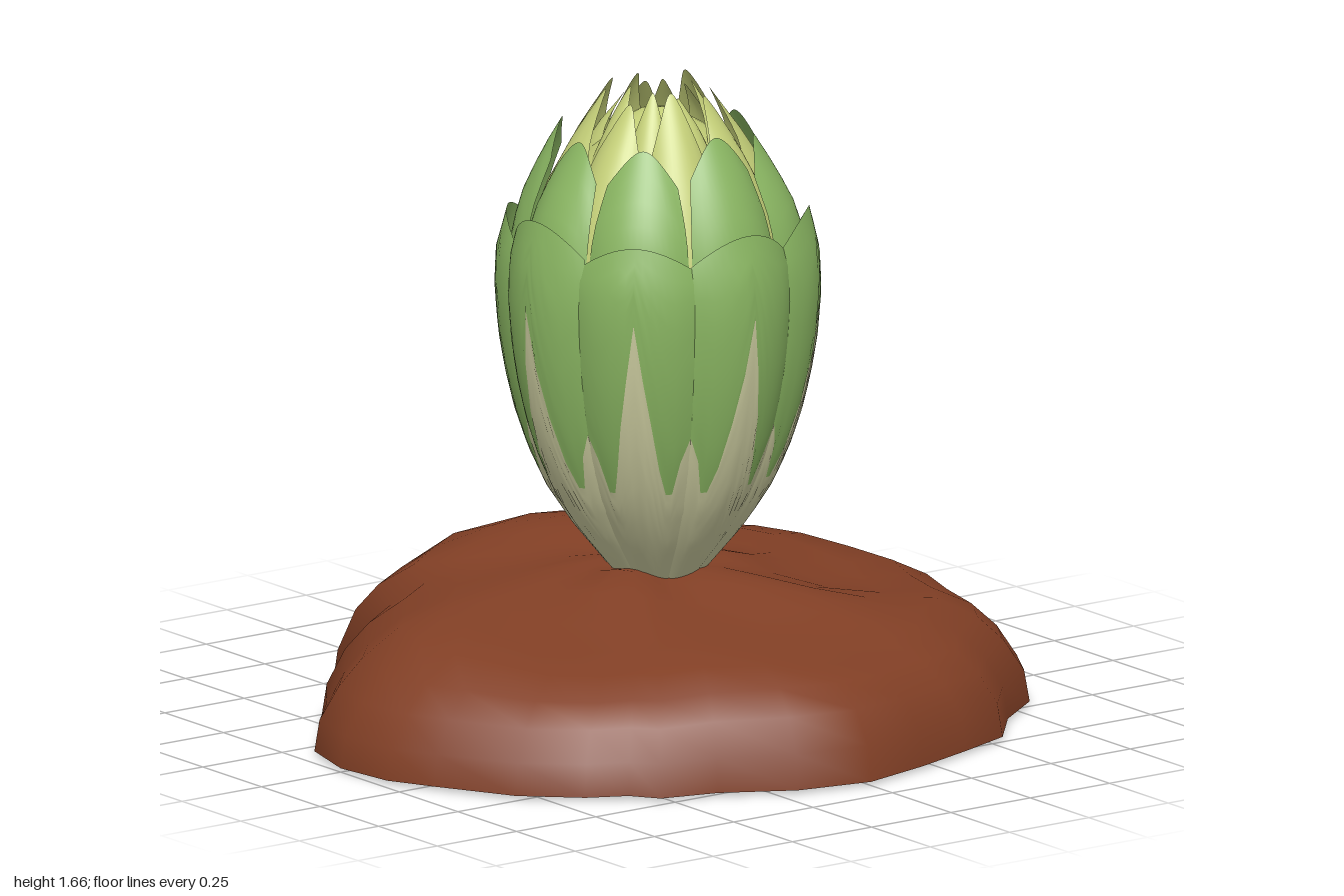
import * as THREE from 'three';
import { mergeVertices } from 'three/addons/utils/BufferGeometryUtils.js';

const mat = (name, color, side = THREE.FrontSide) => {
  const m = new THREE.MeshStandardMaterial({ color, side });
  m.name = name;
  return m;
};

// piecewise linear lookup in [[key, value], ...]
function lerpTable(table, k) {
  if (k <= table[0][0]) return table[0][1];
  for (let i = 1; i < table.length; i++) {
    const [k0, v0] = table[i - 1], [k1, v1] = table[i];
    if (k <= k1) return v0 + (v1 - v0) * (k - k0) / (k1 - k0);
  }
  return table[table.length - 1][1];
}

// grid surface from point(u, v), u across and v up, both 0..1
function surface(cols, rows, point) {
  const pos = [], index = [];
  for (let j = 0; j <= rows; j++)
    for (let i = 0; i <= cols; i++) pos.push(...point(i / cols, j / rows));
  for (let j = 0; j < rows; j++)
    for (let i = 0; i < cols; i++) {
      const a = j * (cols + 1) + i, b = a + cols + 1;
      index.push(a, a + 1, b, a + 1, b + 1, b);
    }
  const g = new THREE.BufferGeometry();
  g.setAttribute('position', new THREE.Float32BufferAttribute(pos, 3));
  g.setIndex(index);
  const merged = mergeVertices(g, 1e-5);
  merged.computeVertexNormals();
  return merged;
}

// soil outline (x, z), turning from the left side through the front
const OUTLINE = [
  [1, -0.02], [0.94, 0.16], [0.89, 0.35], [0.81, 0.49], [0.66, 0.6], [0.54, 0.74], [0.38, 0.8], [0.2, 0.86],
  [0, 0.91], [-0.2, 0.87], [-0.38, 0.77], [-0.53, 0.73], [-0.58, 0.66], [-0.68, 0.61], [-0.81, 0.49], [-0.92, 0.29],
  [-0.98, 0.17], [-1, 0], [-0.95, -0.18], [-0.84, -0.3], [-0.72, -0.46], [-0.57, -0.55], [-0.5, -0.71], [-0.35, -0.8],
  [-0.2, -0.89], [0, -0.91], [0.2, -0.9], [0.37, -0.84], [0.53, -0.74], [0.61, -0.57], [0.76, -0.48], [0.87, -0.36],
  [0.95, -0.2]];

// rings: distance from the middle, then height at front, side and back
const RINGS = [[1, 0.01, 0.01, 0.01], [0.985, 0.1, 0.09, 0.1], [0.93, 0.18, 0.17, 0.22], [0.86, 0.235, 0.235, 0.29],
  [0.75, 0.27, 0.295, 0.36], [0.6, 0.305, 0.315, 0.41], [0.45, 0.345, 0.33, 0.425], [0.3, 0.37, 0.37, 0.42],
  [0.18, 0.39, 0.405, 0.41], [0, 0.39, 0.39, 0.39]];

function soilGeometry() {
  const n = OUTLINE.length, rows = RINGS.length - 1;
  return surface(n, rows, (u, v) => {
    const [x, z] = OUTLINE[(n - Math.round(u * n)) % n];
    const [s, front, sideY, back] = RINGS[Math.round(v * rows)];
    const a = Math.atan2(z, x), f = Math.sin(a);
    const w = f * f;
    const bump = 0.05 * s * (1 - s) * (Math.sin(5 * a + 6 * s) + Math.sin(3 * a - 4 * s));
    return [x * s, sideY * (1 - w) + (f > 0 ? front : back) * w + bump, z * s];
  });
}

function soilBaseGeometry() {
  const n = OUTLINE.length;
  return surface(n, 1, (u, v) => {
    const [x, z] = OUTLINE[Math.round(u * n) % n];
    return [x * (1 - v), 0.01 * (1 - v), z * (1 - v)];
  });
}

// one petal between two height rules; p: profile, tip, drop, half, tuck
function petalGeometry(p, angle, lift, from, to, rows) {
  return surface(16, rows, (s, v) => {
    const u = s * 2 - 1;
    const y0 = from(u), y = y0 + (to(u) - y0) * v;
    const narrow = 1 - p.taper * Math.pow(Math.max(0, (y - p.shoulder) / (p.tip - p.shoulder)), 2);
    const r = lerpTable(p.profile, y) * (1 - p.tuck * u * u);
    const a = angle + u * p.half * narrow;
    const grow = lift * THREE.MathUtils.smoothstep(y, p.shoulder, p.tip);
    return [r * Math.sin(a), y + grow, r * Math.cos(a)];
  });
}

const OUTER = [[0.36, 0.1], [0.42, 0.15], [0.5, 0.217], [0.6, 0.285], [0.7, 0.332], [0.8, 0.366], [0.9, 0.39],
  [1, 0.407], [1.12, 0.417], [1.22, 0.413], [1.33, 0.385]];
const LAYERS = [
  { name: 'outerPetal', colour: 'green', base: 0.36, tip: 1.33, drop: 0.07, half: 0.43, tuck: 0.075,
    shoulder: 1.15, taper: 0.12, offset: 0, profile: OUTER },
  { name: 'middlePetal', colour: 'green', base: 0.95, tip: 1.54, drop: 0.09, half: 0.38, tuck: 0.08,
    shoulder: 1.25, taper: 0.25, offset: 0,
    profile: [[0.95, 0.375], [1.15, 0.39], [1.28, 0.37], [1.36, 0.345], [1.45, 0.3], [1.54, 0.245]] },
  { name: 'innerPetal', colour: 'yellow', base: 1.1, tip: 1.64, drop: 0.16, half: 0.36, tuck: 0.12,
    shoulder: 1.4, taper: 0.15, offset: 0.5,
    profile: [[1.1, 0.355], [1.25, 0.345], [1.4, 0.29], [1.52, 0.22], [1.64, 0.135]] },
  { name: 'heartPetal', colour: 'yellow', base: 1.35, tip: 1.645, drop: 0.13, half: 0.36, tuck: 0.15,
    shoulder: 1.5, taper: 0.2, offset: 0,
    profile: [[1.35, 0.24], [1.48, 0.19], [1.56, 0.145], [1.645, 0.085]] },
];
// height where the pale base of an outer petal turns green
const PALE = [[0, 1.12], [0.125, 0.97], [0.25, 0.84], [0.375, 0.72], [0.5, 0.65], [0.625, 0.65], [0.75, 0.74], [1, 0.84]];

export function createModel() {
  const model = new THREE.Group();
  const mats = {
    green: mat('leafGreen', 0x8ab662, THREE.DoubleSide),
    yellow: mat('youngLeafYellow', 0xc4cf78, THREE.DoubleSide),
    cream: mat('paleLeafBase', 0xcfcfa2, THREE.DoubleSide),
    soil: mat('soilBrown', 0x813f25),
  };
  const add = (parent, name, geometry, material) => {
    const m = new THREE.Mesh(geometry, material);
    m.name = name;
    parent.add(m);
  };

  // mound of soil
  const soil = new THREE.Group();
  soil.name = 'soilMound';
  add(soil, 'soilTop', soilGeometry(), mats.soil);
  add(soil, 'soilUnderside', soilBaseGeometry(), mats.soil);
  model.add(soil);

  // bud of overlapping petals, eight in each layer
  const bud = new THREE.Group();
  bud.name = 'bud';
  model.add(bud);
  LAYERS.forEach((p, layer) => {
    const top = u => p.tip - p.drop * Math.pow(Math.abs(u), 2);
    const bottom = () => p.base;
    const pale = u => lerpTable(PALE, Math.abs(u));
    for (let k = 0; k < 8; k++) {
      const angle = (k + p.offset) * Math.PI / 4;
      const lift = 0.018 * Math.sin(k * 2.4 + layer * 1.7);
      const petal = new THREE.Group();
      petal.name = p.name;
      if (layer === 0) {
        add(petal, 'petalBase', petalGeometry(p, angle, lift, bottom, pale, 12), mats.cream);
        add(petal, 'petalBlade', petalGeometry(p, angle, lift, pale, top, 10), mats.green);
      } else {
        add(petal, 'petalBlade', petalGeometry(p, angle, lift, bottom, top, 10), mats[p.colour]);
      }
      bud.add(petal);
    }
  });

  // closed heart inside the petals
  const core = [[0.3, 1.2], [0.27, 1.35], [0.2, 1.46], [0.12, 1.54], [0.05, 1.58], [0, 1.59]];
  add(bud, 'heart', new THREE.LatheGeometry(core.map(c => new THREE.Vector2(...c)), 24), mats.yellow);
  return model;
}
